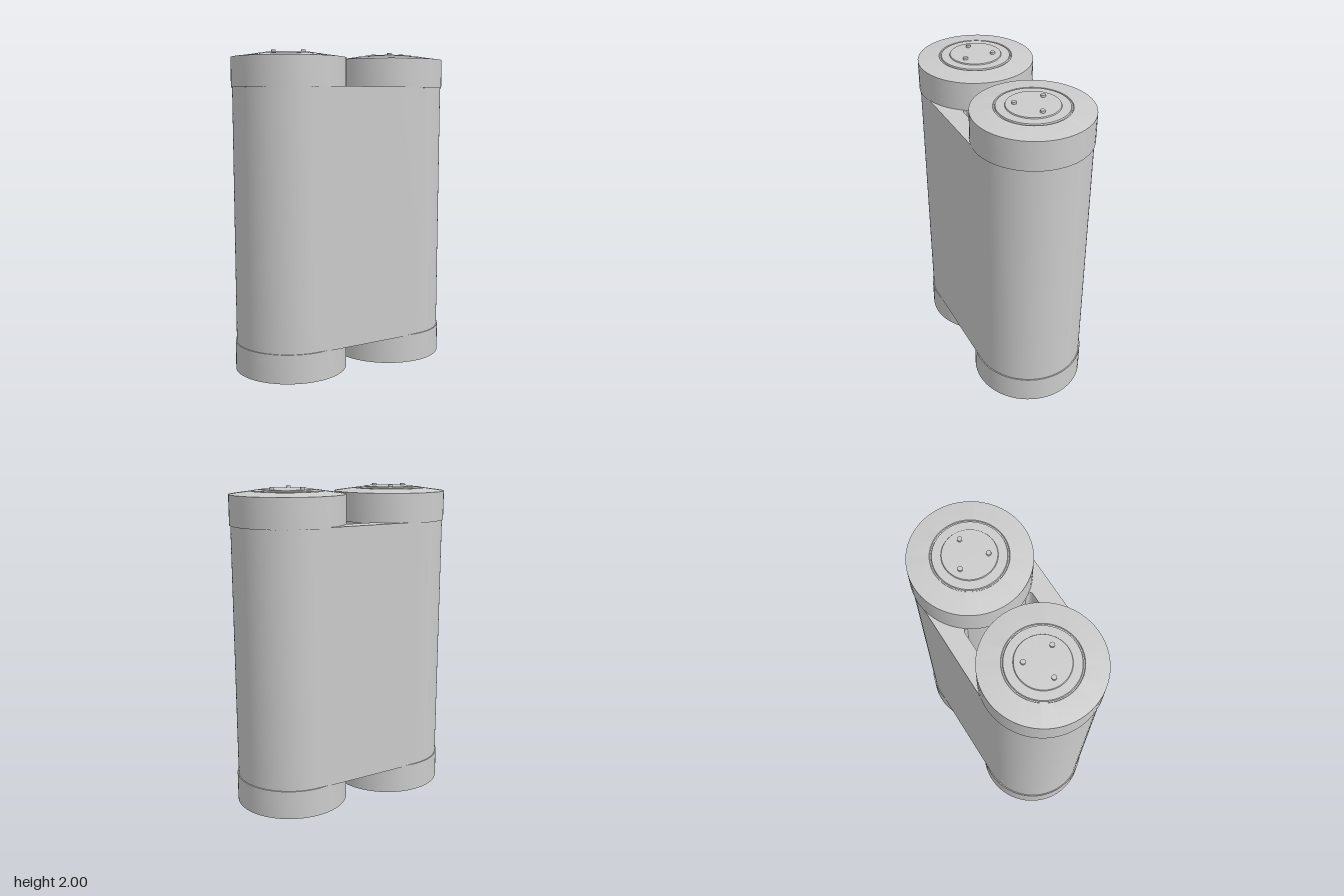
import * as THREE from 'three';
import { toCreasedNormals } from 'three/addons/utils/BufferGeometryUtils.js';

const material = new THREE.MeshStandardMaterial({ color: 0xcccccc });
const CENTER = 0.363; // tube axis offset in x
const BODY_R = 0.34, CAP_R = 0.347;
const BODY_BOTTOM = 0.215, BODY_TOP = 1.785;

function addMesh(parent, geometry, name) {
  const mesh = new THREE.Mesh(geometry, material);
  mesh.name = name;
  parent.add(mesh);
  return mesh;
}

// Stadium-shaped shell with a central channel running between the two tubes
function bodyGeometry() {
  const outline = new THREE.Shape();
  outline.absarc(CENTER, 0, BODY_R, -Math.PI / 2, Math.PI / 2, false);
  outline.absarc(-CENTER, 0, BODY_R, Math.PI / 2, Math.PI * 1.5, false);
  outline.closePath();

  const r = 0.335, z = 0.22, a = Math.asin(0.19 / r);
  const cornerX = CENTER - r * Math.cos(a);
  const channel = new THREE.Path();
  channel.moveTo(-0.06, z);
  channel.lineTo(0.06, z);
  channel.quadraticCurveTo(cornerX, z, cornerX, 0.19);
  channel.absarc(CENTER, 0, r, Math.PI - a, Math.PI + a, false);
  channel.quadraticCurveTo(cornerX, -z, 0.06, -z);
  channel.lineTo(-0.06, -z);
  channel.quadraticCurveTo(-cornerX, -z, -cornerX, -0.19);
  channel.absarc(-CENTER, 0, r, -a, a, false);
  channel.quadraticCurveTo(-cornerX, z, -0.06, z);
  outline.holes.push(channel);

  const geometry = new THREE.ExtrudeGeometry(outline, {
    depth: BODY_TOP - BODY_BOTTOM, bevelEnabled: false, curveSegments: 24,
  });
  geometry.rotateX(-Math.PI / 2);
  geometry.translate(0, BODY_BOTTOM, 0);
  return toCreasedNormals(geometry, 0.5);
}

// Turned cap: rim, shallow conical face, groove and raised contact disc
function capGeometry() {
  const profile = [
    [0, 0.78], [CAP_R, 0.78], [CAP_R, 0.958], [0.218, 0.976], [0.215, 0.971],
    [0.208, 0.971], [0.205, 0.979], [0.155, 0.981], [0.152, 0.987], [0, 0.987],
  ].map(([x, y]) => new THREE.Vector2(x, y));
  return toCreasedNormals(new THREE.LatheGeometry(profile, 64), 0.15);
}

export function createModel() {
  const model = new THREE.Group();
  model.name = 'twinCanister';
  addMesh(model, bodyGeometry(), 'body');

  // Four caps placed around the model's mid-height, each with three contact pins
  const capShape = capGeometry();
  const pinShape = new THREE.CylinderGeometry(0.014, 0.014, 0.03, 16);
  for (const side of [-1, 1]) {
    for (const end of [-1, 1]) {
      const cap = new THREE.Group();
      cap.name = (side > 0 ? 'left' : 'right') + (end > 0 ? 'TopCap' : 'BottomCap');
      addMesh(cap, capShape, 'capShell');
      for (let i = 0; i < 3; i++) {
        const angle = (i * Math.PI * 2) / 3;
        const pin = addMesh(cap, pinShape, 'contactPin');
        pin.position.set(side * 0.103 * Math.cos(angle), 0.985, 0.103 * Math.sin(angle));
      }
      cap.position.set(side * CENTER, 1, 0);
      if (end < 0) cap.rotation.x = Math.PI;
      model.add(cap);
    }
  }
  return model;
}
